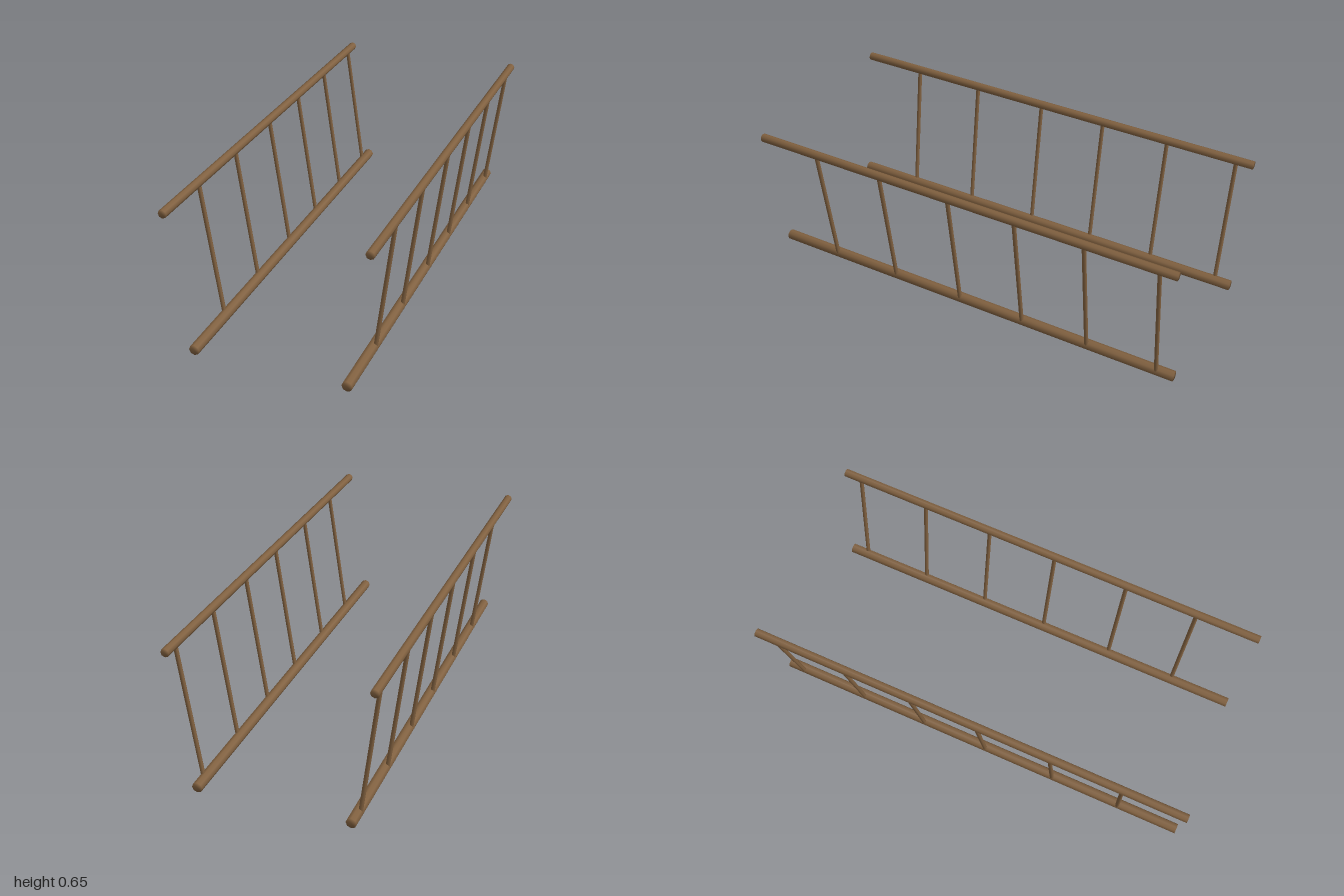
import * as THREE from 'three';
import { mergeVertices } from 'three/addons/utils/BufferGeometryUtils.js';

const wood = new THREE.MeshStandardMaterial({ color: 0x80603f });
wood.name = 'brown wood';

// Eight-sided pole whose normals are shared between sides and end caps
function pole(name, from, to, radius) {
  const axis = to.clone().sub(from);
  let geometry = new THREE.CylinderGeometry(radius, radius, axis.length(), 8);
  geometry.deleteAttribute('uv');
  geometry.deleteAttribute('normal');
  geometry = mergeVertices(geometry, 1e-4);
  geometry.computeVertexNormals();
  const mesh = new THREE.Mesh(geometry, wood);
  mesh.name = name;
  mesh.position.copy(from).add(to).multiplyScalar(0.5);
  mesh.quaternion.setFromUnitVectors(new THREE.Vector3(0, 1, 0), axis.normalize());
  return mesh;
}

export function createModel() {
  const model = new THREE.Group();
  model.name = 'railings';
  const postZ = [0.71, 0.38, 0.037, -0.28, -0.597, -0.922];

  for (const side of [1, -1]) {
    const railing = new THREE.Group();
    railing.name = side > 0 ? 'leftRailing' : 'rightRailing';
    const at = (x, y, z) => new THREE.Vector3(side * x, y, z);

    // Long rails
    railing.add(pole('topRail', at(0.429, 0.635, -1), at(0.429, 0.635, 1), 0.019));
    railing.add(pole('bottomRail', at(0.335, 0.0235, -1), at(0.335, 0.0235, 1), 0.0235));

    // Leaning posts between the rails
    for (const z of postZ) {
      railing.add(pole('post', at(0.346, 0.03, z), at(0.427, 0.635, z), 0.0095));
    }
    model.add(railing);
  }
  return model;
}
